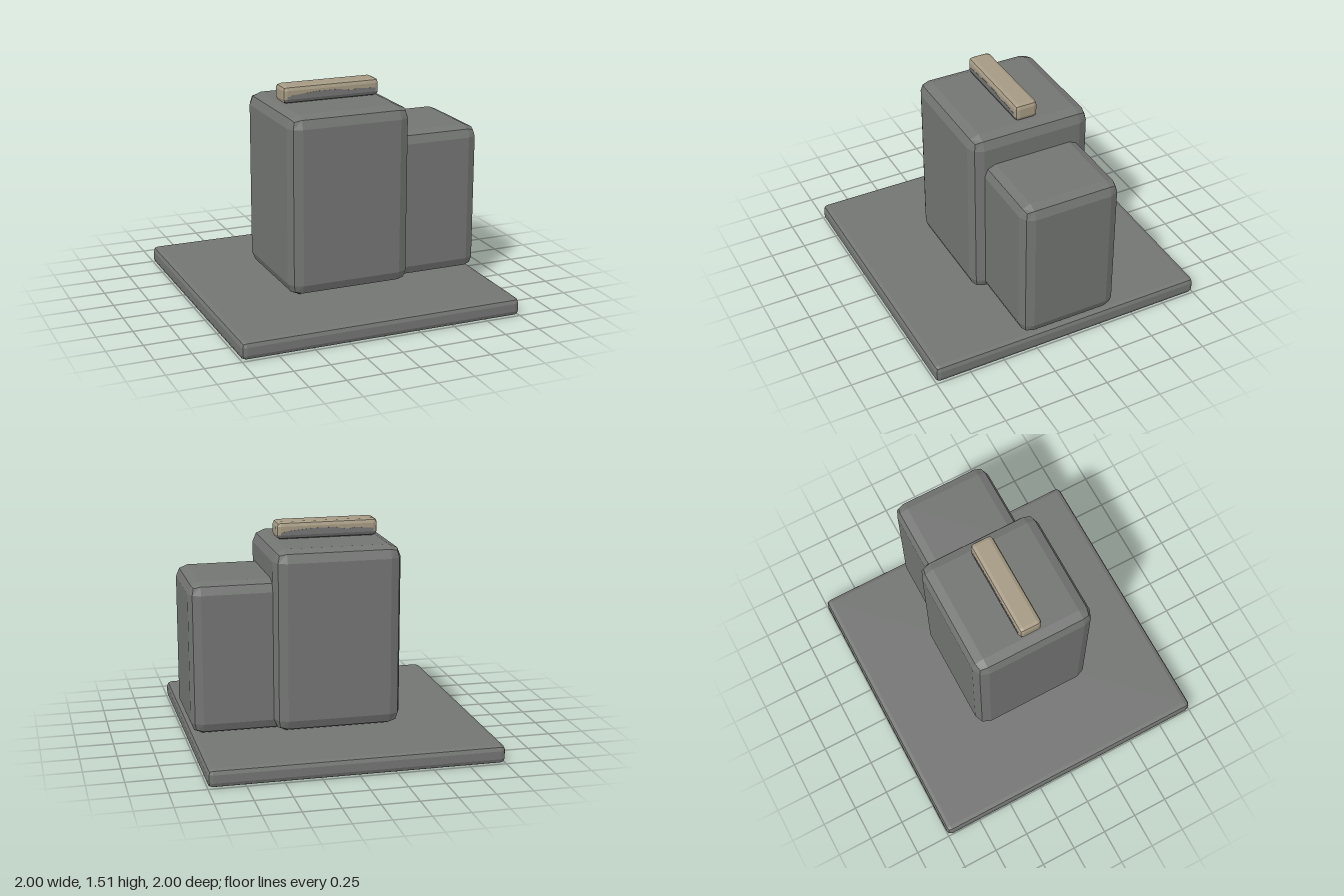
import * as THREE from 'three';
import { RoundedBoxGeometry } from 'three/addons/geometries/RoundedBoxGeometry.js';

// Box with two-facet bevelled edges, standing on height y
function bevelBox(name, [w, h, d], bevel, [x, y, z], material) {
  const geometry = new RoundedBoxGeometry(w, h, d, 1, bevel);
  geometry.clearGroups();
  geometry.computeVertexNormals();
  const mesh = new THREE.Mesh(geometry, material);
  mesh.name = name;
  mesh.position.set(x, y + h / 2, z);
  return mesh;
}

export function createModel() {
  const stone = new THREE.MeshStandardMaterial({ color: 0x737573 });
  stone.name = 'grey stone';
  const tan = new THREE.MeshStandardMaterial({ color: 0xa59a83 });
  tan.name = 'tan';

  const model = new THREE.Group();
  model.name = 'blockMonument';
  model.add(
    bevelBox('basePlate', [2, 0.125, 2], 0.035, [0, 0, 0], stone),
    bevelBox('mainBlock', [0.88, 1.26, 0.88], 0.085, [0, 0.13, 0], stone),
    bevelBox('sideBlock', [0.71, 1.05, 0.71], 0.08, [0.645, 0.13, 0], stone)
  );

  // Top bar: tan, with a grey underside and grey lower long bevels
  const bar = bevelBox('topBar', [0.71, 0.12, 0.165], 0.03, [0, 1.395, 0], [tan, stone]);
  const normal = bar.geometry.attributes.normal;
  for (let i = 0; i < normal.count; i += 3) {
    const ny = normal.getY(i);
    const grey = ny < -0.5 || (ny < -0.2 && Math.abs(normal.getZ(i)) > 0.5);
    bar.geometry.addGroup(i, 3, grey ? 1 : 0);
  }
  model.add(bar);

  // Wavy grey stain along the foot of both long sides of the bar
  const crest = [
    [0.325, 1.453], [0.25, 1.456], [0.2, 1.462], [0.15, 1.452], [0.1, 1.458],
    [0.05, 1.468], [-0.1, 1.468], [-0.2, 1.461], [-0.28, 1.453], [-0.325, 1.442]
  ];
  const outline = [[-0.325, 1.425], [0.325, 1.425], ...crest];
  const stainShape = new THREE.Shape(outline.map(([x, y]) => new THREE.Vector2(x, y)));
  const stainGeometry = new THREE.ExtrudeGeometry(stainShape, { depth: 0.003, bevelEnabled: false });
  for (const [name, turn] of [['frontStain', 0], ['backStain', Math.PI]]) {
    const stain = new THREE.Mesh(stainGeometry, stone);
    stain.name = name;
    stain.rotation.y = turn;
    stain.position.z = turn ? -0.081 : 0.081;
    model.add(stain);
  }
  return model;
}
